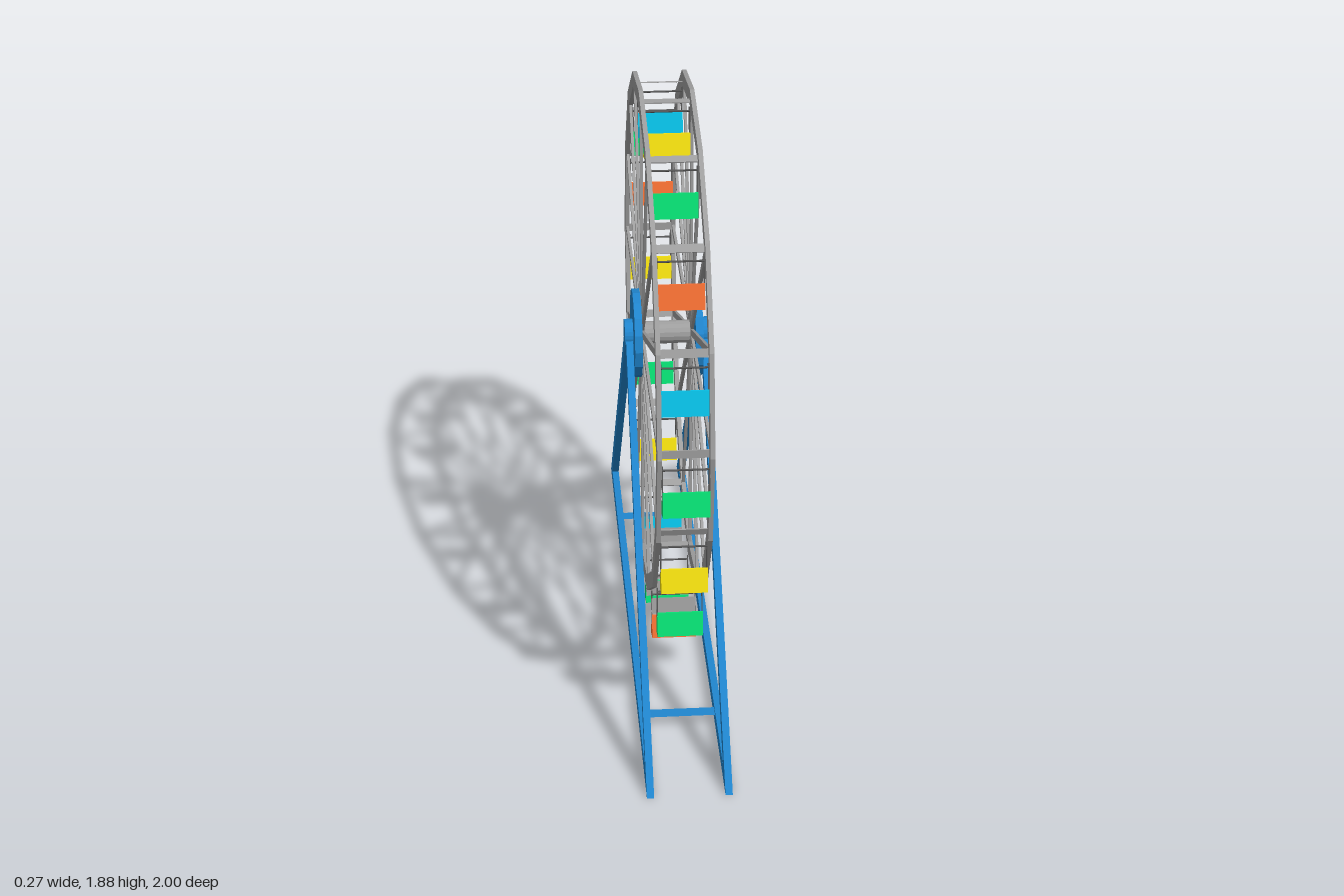
import * as THREE from 'three';

const CY = 1.065;        // wheel axis height
const N = 16;            // rim sides, spokes and seats
const RIM_R = 0.795;     // radius of the rim's middle line
const RIM_X = 0.0775;
const SEAT_W = 0.14;

const mat = (color) => new THREE.MeshStandardMaterial({ color, flatShading: true, side: THREE.DoubleSide });

// Shape drawn in (z, y), extruded along x and centred on x
function slab(points, thickness, holePoints) {
  const shape = new THREE.Shape(points.map((p) => new THREE.Vector2(...p)));
  if (holePoints) shape.holes.push(new THREE.Path(holePoints.map((p) => new THREE.Vector2(...p))));
  return new THREE.ExtrudeGeometry(shape, { depth: thickness, bevelEnabled: false })
    .translate(0, 0, -thickness / 2)
    .rotateY(-Math.PI / 2);
}

const ring = (r) => Array.from({ length: N }, (_, i) => {
  const a = (i / N) * Math.PI * 2;
  return [Math.sin(a) * r, Math.cos(a) * r];
});

const drum = (r, length, sides) => new THREE.CylinderGeometry(r, r, length, sides).rotateZ(Math.PI / 2);

function add(parent, name, geometry, material, x = 0, y = 0, z = 0) {
  const mesh = new THREE.Mesh(geometry, material);
  mesh.name = name;
  mesh.position.set(x, y, z);
  parent.add(mesh);
  return mesh;
}

// Thin bar between two (z, y) points
function bar(parent, name, a, b, thick, width, material, x = 0) {
  const dz = b[0] - a[0], dy = b[1] - a[1];
  const mesh = add(parent, name, new THREE.BoxGeometry(width, Math.hypot(dz, dy), thick), material,
    x, (a[1] + b[1]) / 2, (a[0] + b[0]) / 2);
  mesh.rotation.x = Math.atan2(dz, dy);
  return mesh;
}

export function createModel() {
  const model = new THREE.Group();
  model.name = 'ferrisWheel';

  const blue = mat(0x2086cf);
  const grey = mat(0xa0a0a0);
  const dark = mat(0x555555);
  const paint = { y: mat(0xffea10), g: mat(0x08e878), o: mat(0xff7436), b: mat(0x08c8f0) };

  // Triangular side frames with rounded bearing caps
  const frame = new THREE.Group();
  frame.name = 'supportFrame';
  model.add(frame);
  const frameGeo = slab([[-1, 0], [1, 0], [0, 1.107]], 0.022,
    [[-0.9, 0.045], [0, 1.04], [0.9, 0.045]]);
  for (const s of [-1, 1]) {
    add(frame, 'sideFrame', frameGeo, blue, s * 0.119);
    add(frame, 'bearingCap', drum(0.045, 0.028, 24), blue, s * 0.119, CY);
  }
  // Flat strips joining the two frames
  for (const z of [-0.605, 0.605]) {
    add(frame, 'crossStrip', new THREE.PlaneGeometry(0.23, 0.042).rotateX(-Math.PI / 2), blue, 0, 0.035, z);
  }

  // Rotating wheel
  const wheel = new THREE.Group();
  wheel.name = 'wheel';
  wheel.position.y = CY;
  model.add(wheel);
  add(wheel, 'axle', drum(0.036, 0.2, 16), grey);
  const rimGeo = slab(ring(0.82), 0.014, ring(0.77));
  for (const s of [-1, 1]) {
    add(wheel, 'rim', rimGeo, grey, s * RIM_X);
    add(wheel, 'hubDisc', drum(0.14, 0.024, 16), blue, s * 0.095);
  }
  for (const [z, y] of ring(1)) {
    for (const s of [-1, 1]) {
      bar(wheel, 'spoke', [z * 0.03, y * 0.03], [z * 0.785, y * 0.785], 0.022, 0.009, grey, s * RIM_X);
    }
    // Flat tie between the two rims, facing the axle
    bar(wheel, 'rimTie', [z * 0.781, y * 0.781], [z * 0.785, y * 0.785], 0.026, RIM_X * 2, grey);
  }

  // Hanging bench, in (z, y) offsets from its rim corner
  const sideGeo = slab([[0.043, -0.181], [0.034, -0.125], [0, -0.122], [-0.012, -0.194]], 0.004);
  function seat(colour) {
    const g = new THREE.Group();
    g.name = 'seat';
    bar(g, 'seatBack', [0.043, -0.182], [0.031, -0.104], 0.007, SEAT_W, colour);
    bar(g, 'seatFloor', [0.045, -0.179], [-0.021, -0.198], 0.006, SEAT_W, colour);
    bar(g, 'seatCushion', [0.036, -0.169], [-0.008, -0.181], 0.012, SEAT_W - 0.01, colour);
    for (const s of [-1, 1]) {
      add(g, 'seatSide', sideGeo, colour, s * (SEAT_W / 2 - 0.002));
      bar(g, 'hangerWire', [0.004, -0.03], [0.018, -0.14], 0.004, 0.004, dark, s * (SEAT_W / 2 - 0.001));
    }
    add(g, 'hangerRod', drum(0.003, SEAT_W, 6), dark, 0, -0.042, 0.007);
    return g;
  }

  // Colours run from the top corner towards the front; a few seats swing off their corner
  const order = 'ygobgygogbygyogb';
  const swing = { 5: [-0.01, 0], 10: [0.03, 0], 11: [0.037, -0.05], 13: [0.01, 0.005] };
  ring(RIM_R).forEach(([z, y], i) => {
    const [dz, dy] = swing[i] ?? [0, 0];
    const s = seat(paint[order[i]]);
    s.position.set(0, y + dy, z + dz);
    wheel.add(s);
  });

  // Loose grey panels beside the three lowest seats, as (z, y) centres
  for (const [z, y] of [[0.318, 0.25], [0.047, 0.145], [-0.252, 0.165]]) {
    bar(model, 'greyPanel', [z + 0.005, y - 0.025], [z - 0.005, y + 0.025], 0.004, SEAT_W, grey);
  }

  return model;
}
